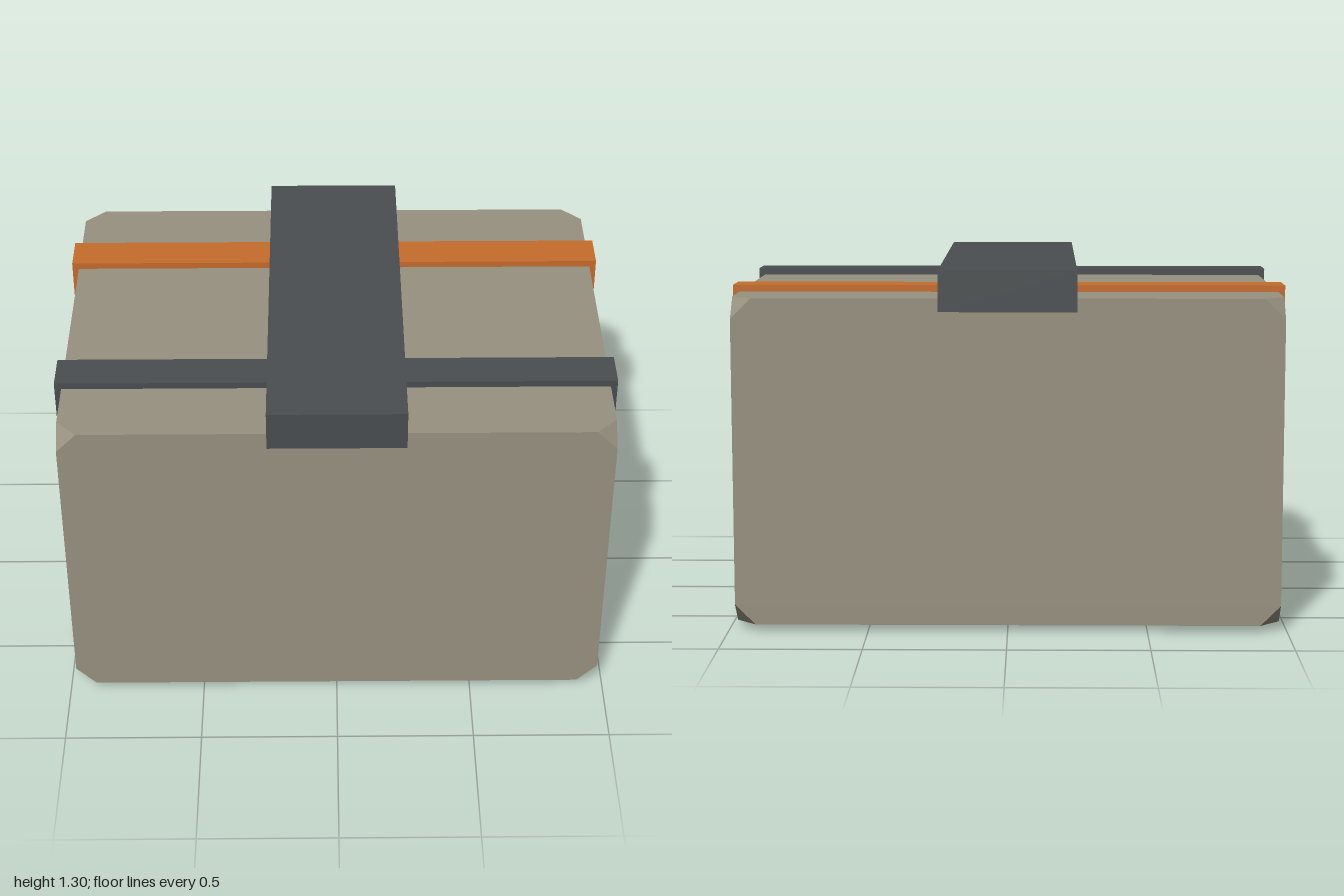
import * as THREE from 'three';
import { ConvexGeometry } from 'three/addons/geometries/ConvexGeometry.js';

export function createModel() {
  const model = new THREE.Group();
  model.name = 'strappedCrate';

  const material = (name, color) => {
    const m = new THREE.MeshStandardMaterial({ color });
    m.name = name;
    return m;
  };
  const canvas = material('taupe canvas', 0x989181);
  const dark = material('dark slate', 0x4a4e50);
  const orange = material('orange webbing', 0xc66c2b);

  const add = (name, geometry, mat, x, y, z) => {
    const mesh = new THREE.Mesh(geometry, mat);
    mesh.name = name;
    mesh.position.set(x, y, z);
    model.add(mesh);
  };

  // Box body with its eight corners cut off: three points per corner
  const half = [0.976, 0.586, 0.732];
  const cut = 0.073;
  const points = [];
  for (const sx of [-1, 1]) for (const sy of [-1, 1]) for (const sz of [-1, 1]) {
    const signs = [sx, sy, sz];
    for (let axis = 0; axis < 3; axis++) {
      const p = half.map((h, i) => signs[i] * (i === axis ? h - cut : h));
      points.push(new THREE.Vector3(...p));
    }
  }
  add('body', new ConvexGeometry(points), canvas, 0, 0.61, 0);

  // Straps wrapped all the way round the body
  const strap = new THREE.BoxGeometry(2, 1.22, 0.146);
  add('frontStrap', strap, dark, 0, 0.61, 0.39);
  add('backStrap', strap, orange, 0, 0.61, -0.39);

  // Thick bar across the top, overhanging front and back
  add('topBar', new THREE.BoxGeometry(0.488, 0.146, 1.512), dark, 0, 1.223, 0);

  return model;
}
